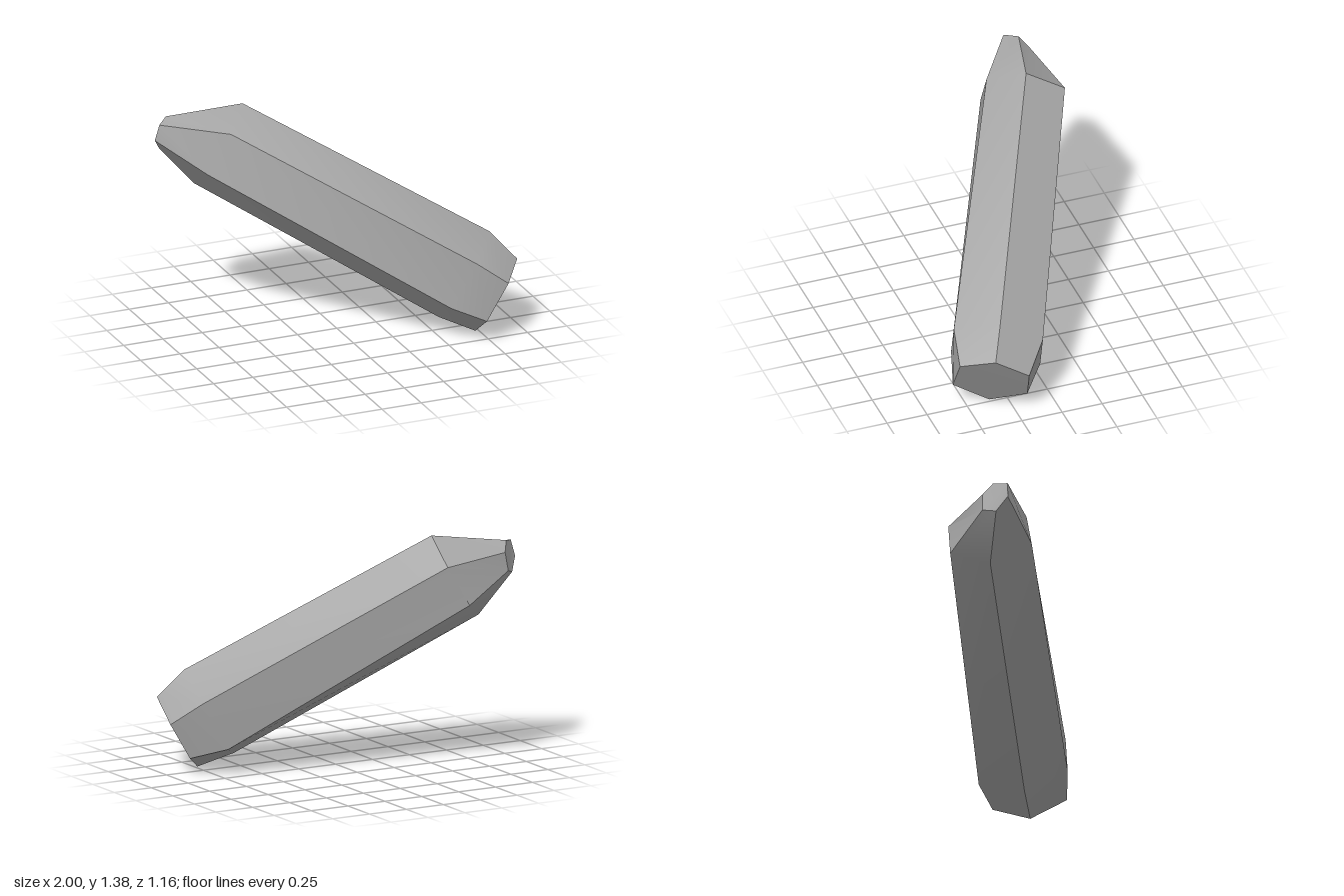
import * as THREE from 'three';
import { toCreasedNormals } from 'three/addons/utils/BufferGeometryUtils.js';

// Six-sided cross-sections along the shard, from the blunt base to the narrow tip
const baseCap = [[0.845, 0.365, 0.58], [0.975, 0.435, 0.405], [1.0, 0.31, 0.205],
  [0.885, 0.1, 0.175], [0.73, 0, 0.355], [0.71, 0.145, 0.575]];
const baseShoulder = [[0.66, 0.505, 0.55], [0.835, 0.6, 0.325], [0.86, 0.445, 0.068],
  [0.71, 0.163, 0.03], [0.54, 0.08, 0.255], [0.51, 0.235, 0.512]];
const tipShoulder = [[-0.62, 1.28, -0.125], [-0.465, 1.38, -0.315], [-0.44, 1.235, -0.548],
  [-0.57, 1.0, -0.58], [-0.74, 0.89, -0.39], [-0.76, 1.04, -0.14]];
const tipCap = [[-0.975, 1.307, -0.362], [-0.905, 1.325, -0.43], [-0.868, 1.265, -0.48],
  [-0.885, 1.155, -0.488], [-0.948, 1.13, -0.425], [-1.0, 1.21, -0.37]];

function loftRings(rings) {
  const n = rings[0].length;
  const index = [];
  // Side faces between neighbouring rings
  for (let r = 0; r < rings.length - 1; r++) {
    for (let i = 0; i < n; i++) {
      const a = r * n + i, b = r * n + (i + 1) % n;
      index.push(a, b, b + n, a, b + n, a + n);
    }
  }
  // Flat end caps
  const last = (rings.length - 1) * n;
  for (let i = 1; i < n - 1; i++) {
    index.push(0, i + 1, i, last, last + i, last + i + 1);
  }
  const geometry = new THREE.BufferGeometry();
  geometry.setAttribute('position', new THREE.Float32BufferAttribute(rings.flat(2), 3));
  geometry.setIndex(index);
  return toCreasedNormals(geometry, 0.6);
}

export function createModel() {
  const group = new THREE.Group();
  group.name = 'crystal';

  const stone = new THREE.MeshStandardMaterial({ color: 0xa6a6a6 });
  stone.name = 'grey stone';

  const shard = new THREE.Mesh(loftRings([baseCap, baseShoulder, tipShoulder, tipCap]), stone);
  shard.name = 'crystalShard';
  group.add(shard);
  return group;
}
